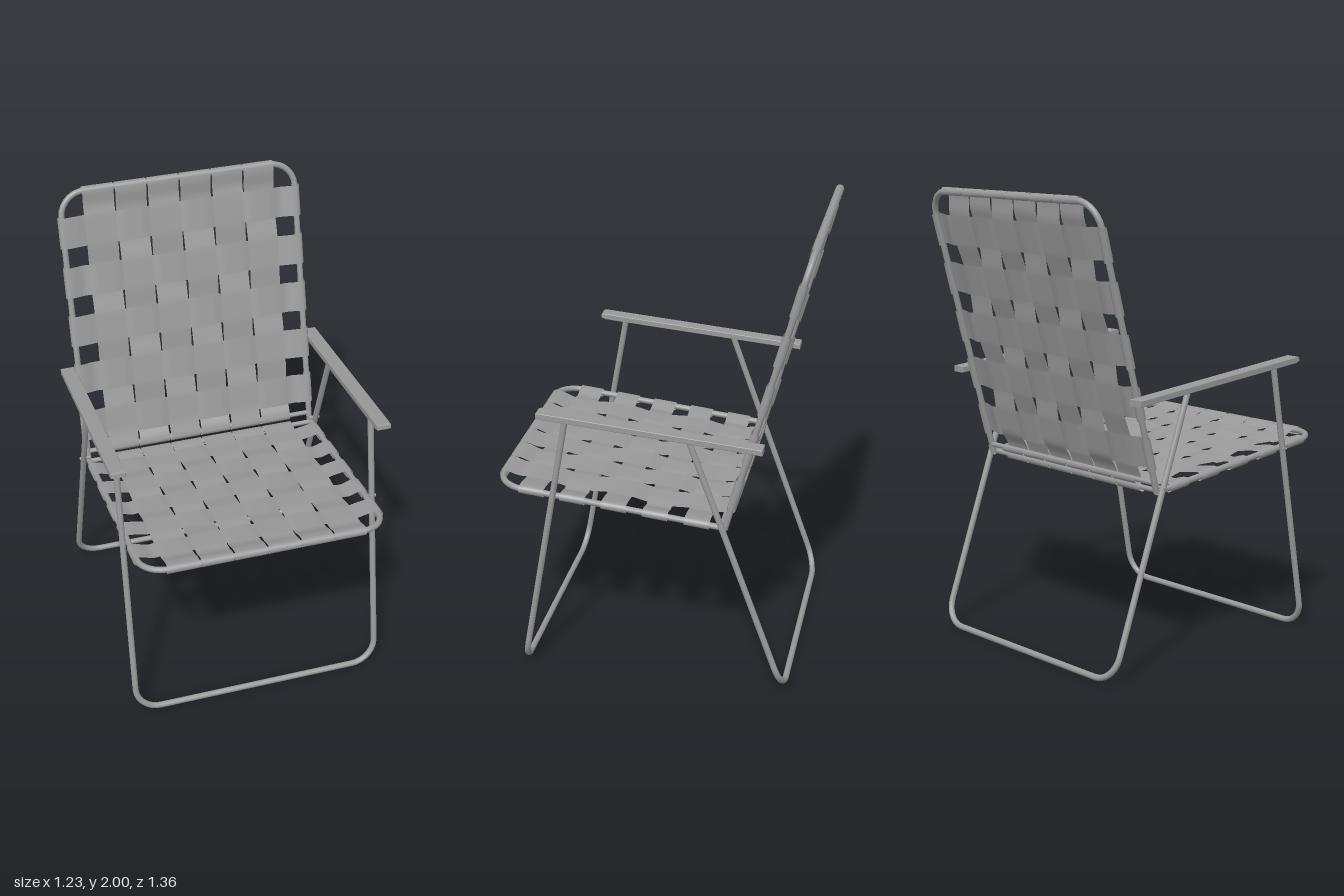
import * as THREE from 'three';

const grey = new THREE.MeshStandardMaterial({ color: 0x999999, side: THREE.DoubleSide });
grey.name = 'grey';

const TUBE = 0.0135; // frame tube radius
const WRAP = 0.019; // strap radius where it wraps a tube
const FRAME_X = 0.541;
const LEG_X = 0.567;
const STRAP_PITCH = 0.148;

function add(parent, name, geometry) {
  const mesh = new THREE.Mesh(geometry, grey);
  mesh.name = name;
  parent.add(mesh);
  return mesh;
}

// Tube along a polyline whose inner corners are rounded
function roundedTube(points, corner, radius = TUBE) {
  const path = new THREE.CurvePath();
  let last = points[0];
  for (let i = 1; i < points.length - 1; i++) {
    const p = points[i];
    const toward = (q) => p.clone().add(q.clone().sub(p).setLength(corner));
    const a = toward(points[i - 1]), b = toward(points[i + 1]);
    const k = 0.55;
    path.add(new THREE.LineCurve3(last, a));
    path.add(new THREE.CubicBezierCurve3(a, a.clone().lerp(p, k), b.clone().lerp(p, k), b));
    last = b;
  }
  path.add(new THREE.LineCurve3(last, points[points.length - 1]));
  return new THREE.TubeGeometry(path, 140, radius, 12, false);
}

function rod(length, radius = TUBE) {
  return new THREE.CylinderGeometry(radius, radius, length, 14).rotateZ(Math.PI / 2);
}

// Profile [u, n] of a strap: wrapped round a tube at each end, woven between
function strapProfile(p0, p1, wave) {
  const pts = [];
  const arc = 12;
  for (let i = 0; i < arc; i++) {
    const a = -0.3 * Math.PI - (i / arc) * 1.2 * Math.PI;
    pts.push([p0 + WRAP * Math.cos(a), WRAP * Math.sin(a)]);
  }
  const steps = 80;
  for (let i = 0; i <= steps; i++) {
    const u = p0 + ((p1 - p0) * i) / steps;
    const w = THREE.MathUtils.smoothstep(Math.min(u - p0, p1 - u), 0, 0.09);
    pts.push([u, THREE.MathUtils.lerp(WRAP, 0.004 + 0.005 * wave(u), w)]);
  }
  for (let i = 1; i <= arc; i++) {
    const a = 0.5 * Math.PI - (i / arc) * 1.2 * Math.PI;
    pts.push([p1 + WRAP * Math.cos(a), WRAP * Math.sin(a)]);
  }
  return pts;
}

// Ribbon of a given width swept along a profile
function strap(profile, width, place) {
  const geo = new THREE.PlaneGeometry(1, 1, profile.length - 1, 1);
  const pos = geo.attributes.position;
  for (let i = 0; i < pos.count; i++) {
    const [u, n] = profile[i % profile.length];
    const v = i < profile.length ? width / 2 : -width / 2;
    pos.setXYZ(i, ...place(u, v, n));
  }
  geo.computeVertexNormals();
  return geo;
}

// Webbed panel: local y runs from the hinge to the free end
function webbedPanel(name, { length, bar, first, step, width, parity, face }) {
  const panel = new THREE.Group();
  panel.name = name;
  const V = (x, y) => new THREE.Vector3(x, y, 0);
  add(panel, name + 'Frame', roundedTube(
    [V(-FRAME_X, -0.005), V(-FRAME_X, length), V(FRAME_X, length), V(FRAME_X, -0.005)], 0.11));
  add(panel, name + 'Crossbar', rod(2 * FRAME_X, 0.011)).position.y = bar;

  const wave = (d) => THREE.MathUtils.clamp(1.7 * Math.cos(Math.PI * d), -1, 1);
  // Cross straps
  for (let j = 0; j < 5; j++) {
    const sign = j % 2 === parity ? 1 : -1;
    const s = first - j * step;
    const profile = strapProfile(-FRAME_X, FRAME_X,
      (x) => sign * wave((x + 2.5 * STRAP_PITCH) / STRAP_PITCH));
    add(panel, name + 'CrossStrap', strap(profile, width, (u, v, n) => [u, s + v, n * face]));
  }
  // Lengthwise straps
  for (let i = 0; i < 6; i++) {
    const sign = i % 2 === parity ? -1 : 1;
    const x = (i - 2.5) * STRAP_PITCH;
    const profile = strapProfile(bar, length, (s) => sign * wave((s - first) / step));
    add(panel, name + 'LongStrap', strap(profile, 0.141, (u, v, n) => [x + v, u, n * face]));
  }
  return panel;
}

// U-shaped leg with its open ends under the armrests
function legLoop(name, topY, topZ, footZ) {
  const V = (x, y, z) => new THREE.Vector3(x, y, z);
  const y = 0.0155;
  return [name, roundedTube([V(-LEG_X, topY, topZ), V(-LEG_X, y, footZ),
    V(LEG_X, y, footZ), V(LEG_X, topY, topZ)], 0.11)];
}

export function createModel() {
  const chair = new THREE.Group();
  chair.name = 'foldingChair';

  const seat = webbedPanel('seat', {
    length: 0.993, bar: 0.012, first: 0.84, step: 0.181, width: 0.108, parity: 0, face: -1,
  });
  seat.position.set(0, 0.775, -0.325);
  seat.rotation.x = Math.atan2(0.987, 0.108);
  chair.add(seat);

  const back = webbedPanel('back', {
    length: 1.25, bar: 0.04, first: 1.073, step: 0.226, width: 0.139, parity: 1, face: 1,
  });
  back.position.set(0, 0.775, -0.33);
  back.rotation.x = -Math.atan2(0.327, 1.207);
  chair.add(back);

  add(chair, ...legLoop('frontLeg', 1.235, 0.345, 0.562));
  add(chair, ...legLoop('backLeg', 1.195, -0.172, -0.598));

  // Armrest side profile with a slanted front end, in (z, y)
  const side = new THREE.Shape([[-0.492, 1.159], [0.44, 1.238], [0.462, 1.246],
    [0.46, 1.264], [0.45, 1.267], [-0.492, 1.186]].map((p) => new THREE.Vector2(...p)));
  const armGeo = new THREE.ExtrudeGeometry(side, {
    depth: 0.056, bevelEnabled: true, bevelThickness: 0.004, bevelSize: 0.003,
    bevelOffset: -0.003, bevelSegments: 2,
  }).translate(0, 0, -0.028).rotateY(-Math.PI / 2);

  for (const s of [-1, 1]) {
    add(chair, s > 0 ? 'leftArmrest' : 'rightArmrest', armGeo).position.x = s * 0.583;
    // Pivots joining the legs to the seat
    for (const [y, z] of [[0.795, -0.318], [0.857, 0.41]]) {
      add(chair, 'pivot', rod(0.05, 0.008)).position.set(s * 0.56, y, z);
    }
  }
  return chair;
}
